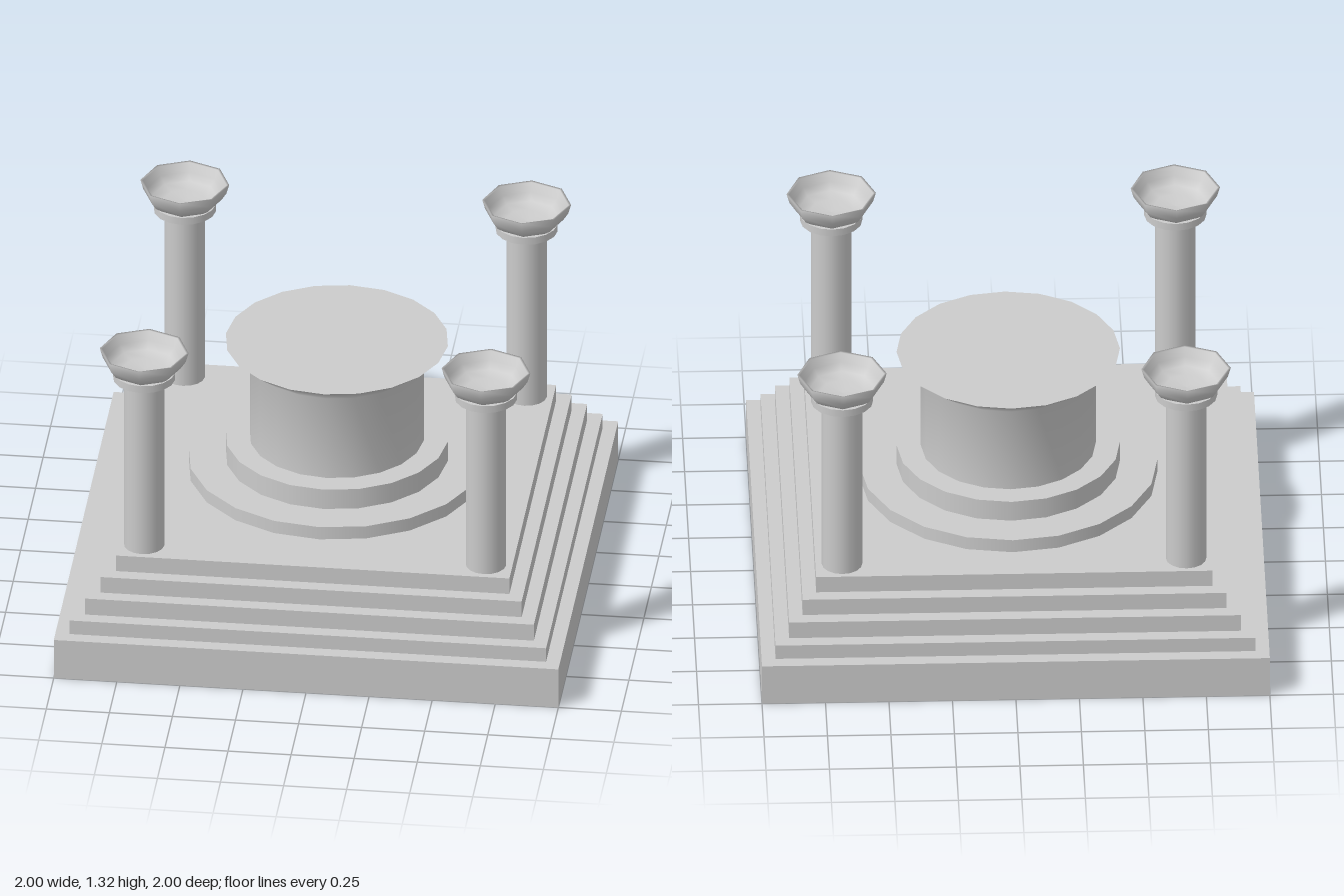
import * as THREE from 'three';

const material = new THREE.MeshStandardMaterial({ color: 0xcccccc });
const openMaterial = new THREE.MeshStandardMaterial({ color: 0xcccccc, side: THREE.DoubleSide });

function addMesh(parent, name, geometry, y = 0, mat = material) {
  const mesh = new THREE.Mesh(geometry, mat);
  mesh.name = name;
  mesh.position.y = y;
  parent.add(mesh);
  return mesh;
}

// Upright disc or shaft spanning two heights
function addRound(parent, name, radius, bottom, top, segments) {
  const geometry = new THREE.CylinderGeometry(radius, radius, top - bottom, segments);
  return addMesh(parent, name, geometry, (bottom + top) / 2);
}

function lathe(points, segments) {
  return new THREE.LatheGeometry(points.map(([r, y]) => new THREE.Vector2(r, y)), segments);
}

function createColumn(x, z) {
  const column = new THREE.Group();
  column.name = 'column';
  addRound(column, 'columnShaft', 0.08, 0.445, 1.197, 16);
  addRound(column, 'columnCollar', 0.123, 1.197, 1.228, 16);
  // Eight-sided fire bowl: outer wall, thin lip, hollow inside
  const bowl = [
    [0, 1.228], [0.115, 1.228], [0.145, 1.25], [0.165, 1.28], [0.176, 1.32],
    [0.166, 1.318], [0.152, 1.282], [0.128, 1.255], [0.085, 1.24], [0, 1.235],
  ];
  addMesh(column, 'bowl', lathe(bowl, 8), 0, openMaterial);
  column.position.set(x, 0, z);
  return column;
}

export function createModel() {
  const model = new THREE.Group();
  model.name = 'altarPlatform';

  // Stepped square base
  const heights = [0, 0.172, 0.233, 0.305, 0.375, 0.445];
  for (let i = 0; i < 5; i++) {
    const width = 2 - i * 0.11;
    const height = heights[i + 1] - heights[i];
    addMesh(model, 'step', new THREE.BoxGeometry(width, height, width), heights[i] + height / 2);
  }

  // Round altar on two discs, slightly behind the middle
  const altar = new THREE.Group();
  altar.name = 'altar';
  altar.position.z = -0.03;
  addRound(altar, 'lowerDisc', 0.587, 0.445, 0.5, 20);
  addRound(altar, 'upperDisc', 0.44, 0.5, 0.587, 20);
  addMesh(altar, 'altarDrum', lathe([[0.345, 0.587], [0.345, 0.945], [0.44, 1.018]], 20));
  const top = new THREE.CircleGeometry(0.44, 20).rotateX(-Math.PI / 2);
  addMesh(altar, 'altarTop', top, 1.018);
  model.add(altar);

  // Corner columns
  for (const x of [-0.68, 0.675]) {
    for (const z of [-0.68, 0.677]) model.add(createColumn(x, z));
  }
  return model;
}
